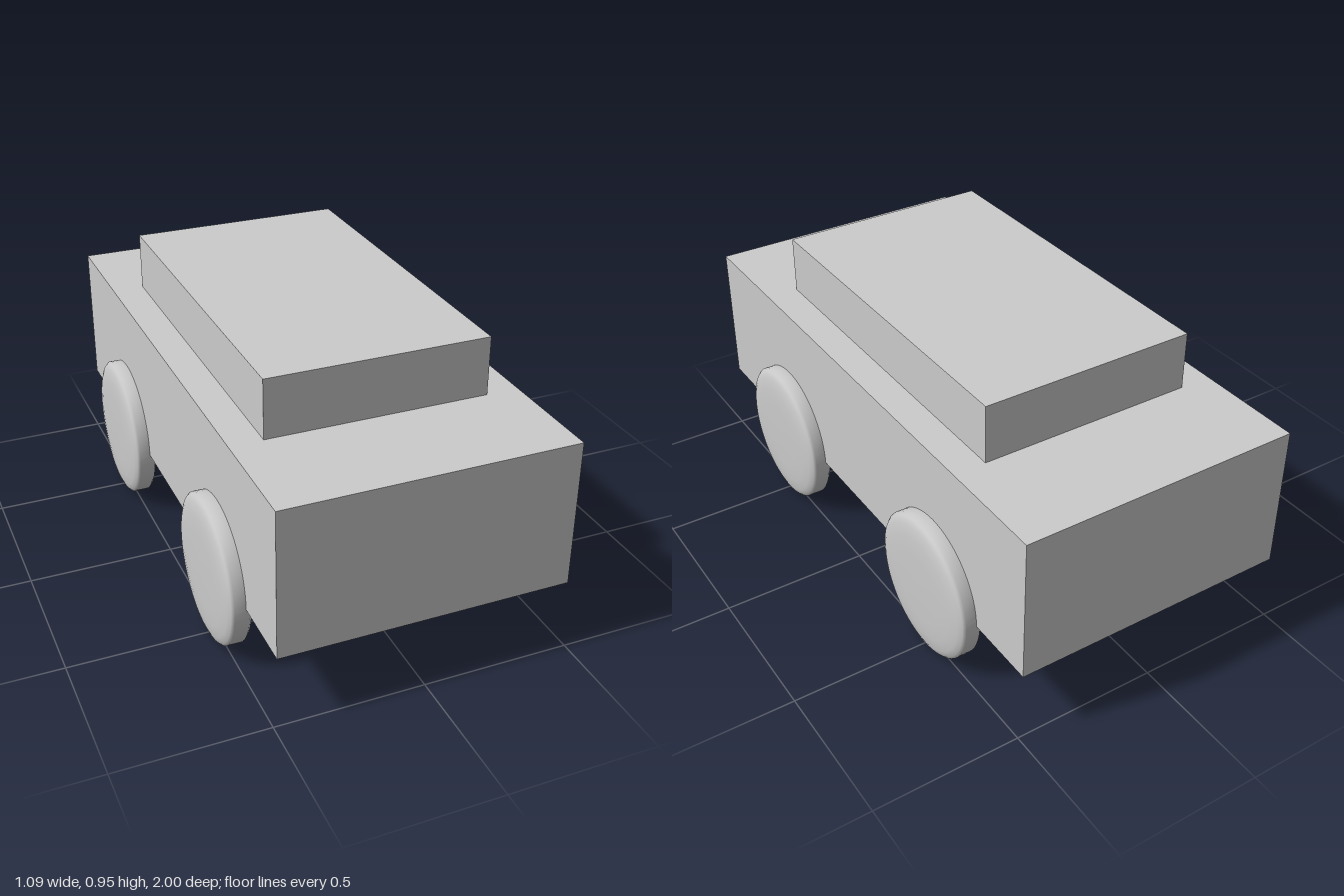
import * as THREE from 'three';

export function createModel() {
  const car = new THREE.Group();
  car.name = 'car';
  const material = new THREE.MeshStandardMaterial({ color: 0xcccccc });

  const add = (name, geometry, x, y, z) => {
    const mesh = new THREE.Mesh(geometry, material);
    mesh.name = name;
    mesh.position.set(x, y, z);
    car.add(mesh);
  };

  // Body and cabin blocks
  add('body', new THREE.BoxGeometry(0.972, 0.5, 2), 0, 0.501, 0);
  add('cabin', new THREE.BoxGeometry(0.75, 0.2, 1.25), 0, 0.851, 0);

  // Wheel: a thin disc with gently domed faces and a rounded rim
  const half = [[0, 0.049], [0.12, 0.0485], [0.18, 0.046], [0.22, 0.041], [0.24, 0.033], [0.249, 0.024]];
  const profile = [
    ...half.map(([r, h]) => new THREE.Vector2(r, -h)),
    ...half.slice().reverse().map(([r, h]) => new THREE.Vector2(r, h)),
  ];
  const wheel = new THREE.LatheGeometry(profile, 64).rotateZ(Math.PI / 2);

  for (const [side, x] of [['Left', 0.498], ['Right', -0.498]]) {
    for (const [end, z] of [['front', 0.5], ['back', -0.5]]) {
      add(`${end}${side}Wheel`, wheel, x, 0.251, z);
    }
  }
  return car;
}
